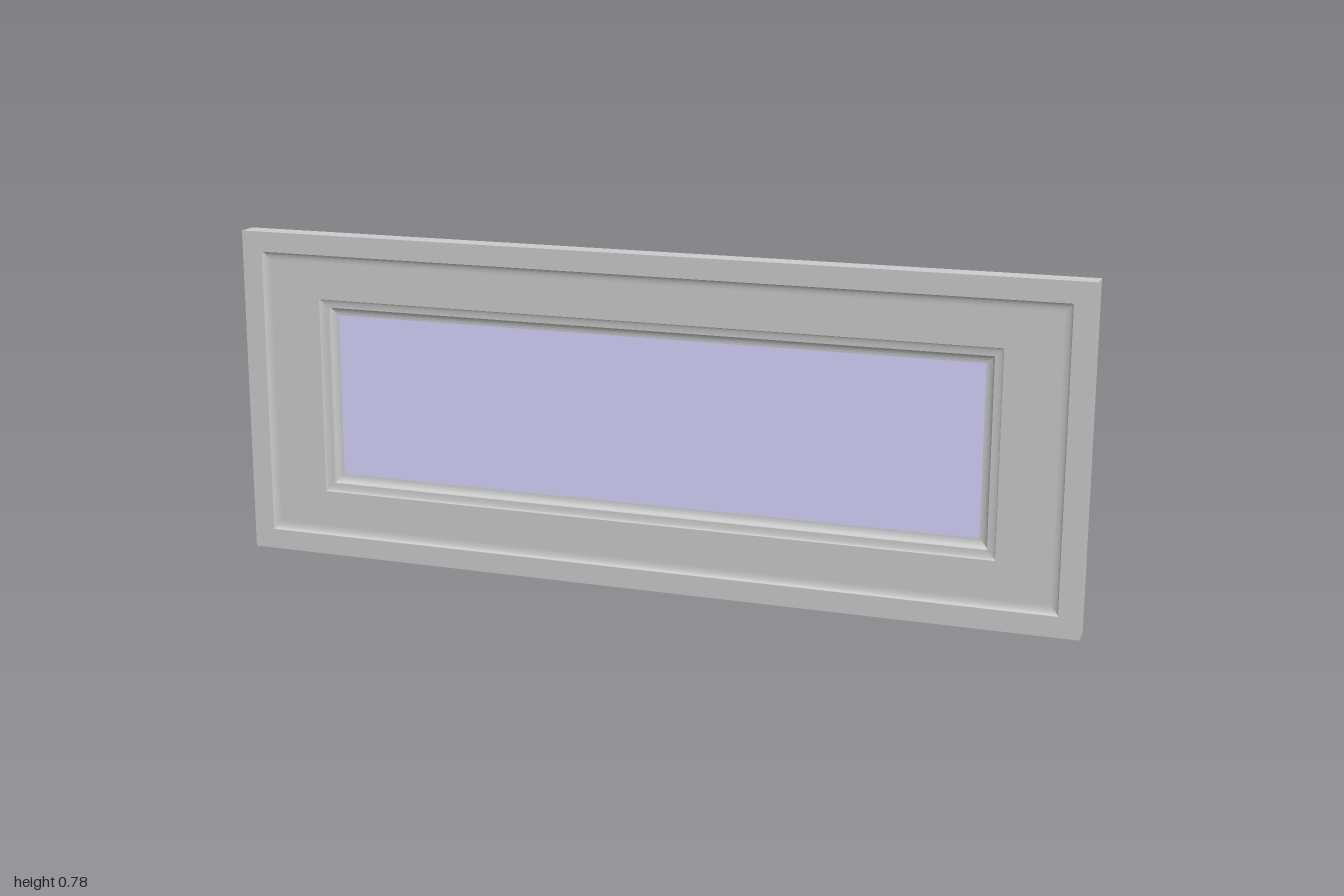
import * as THREE from 'three';

const H = 0.78, CY = H / 2;
const grey = new THREE.MeshStandardMaterial({ color: 0xcccccc });
const tint = new THREE.MeshStandardMaterial({ color: 0xd6d4fe });

// Mitred rectangular surface through rings of [halfWidth, halfHeight, z], outside to inside
function mitred(name, rings) {
  const pos = [];
  const corner = ([w, h, z], i) => [[-w, -h, z], [w, -h, z], [w, h, z], [-w, h, z]][i % 4];
  for (let r = 0; r < rings.length - 1; r++) {
    for (let i = 0; i < 4; i++) {
      const a = corner(rings[r], i), b = corner(rings[r], i + 1);
      const c = corner(rings[r + 1], i + 1), d = corner(rings[r + 1], i);
      pos.push(...a, ...b, ...c, ...a, ...c, ...d);
    }
  }
  const geo = new THREE.BufferGeometry();
  geo.setAttribute('position', new THREE.Float32BufferAttribute(pos, 3));
  geo.computeVertexNormals();
  const mesh = new THREE.Mesh(geo, grey);
  mesh.name = name;
  mesh.position.y = CY;
  return mesh;
}

// Hollow quarter-round rings, steep at the outside and flat at the inside
function cove(w, h, zTop, zBottom, width, steps = 8) {
  return Array.from({ length: steps + 1 }, (_, i) => {
    const t = (i / steps) * Math.PI / 2;
    const inset = width * (1 - Math.cos(t));
    return [w - inset, h - inset, zBottom + (zTop - zBottom) * (1 - Math.sin(t))];
  });
}

function flat(name, w, h, z, material) {
  const mesh = new THREE.Mesh(new THREE.PlaneGeometry(w, h), material);
  mesh.name = name;
  mesh.position.set(0, CY, z);
  return mesh;
}

export function createModel() {
  const group = new THREE.Group();
  group.name = 'framedPanel';

  // Outer edges and raised rim
  group.add(mitred('outerRim', [
    [1, CY, -0.025], [1, CY, 0.025], [0.952, 0.342, 0.025], [0.952, 0.342, 0.022],
  ]));

  // Cove falling to the broad flat border
  group.add(mitred('border', [
    ...cove(0.952, 0.342, 0.022, 0.014, 0.02), [0.81, 0.235, 0.014],
  ]));

  // Stepped, coved moulding around the pane
  group.add(mitred('innerMoulding', [
    [0.81, 0.235, 0.014],
    ...cove(0.81, 0.235, 0.011, 0.006, 0.02),
    ...cove(0.79, 0.215, 0.002, -0.01, 0.02),
  ]));

  // Coloured pane and plain back
  group.add(flat('pane', 1.54, 0.39, -0.01, tint));
  const back = flat('backBoard', 2, H, -0.025, grey);
  back.rotation.y = Math.PI;
  group.add(back);

  return group;
}
